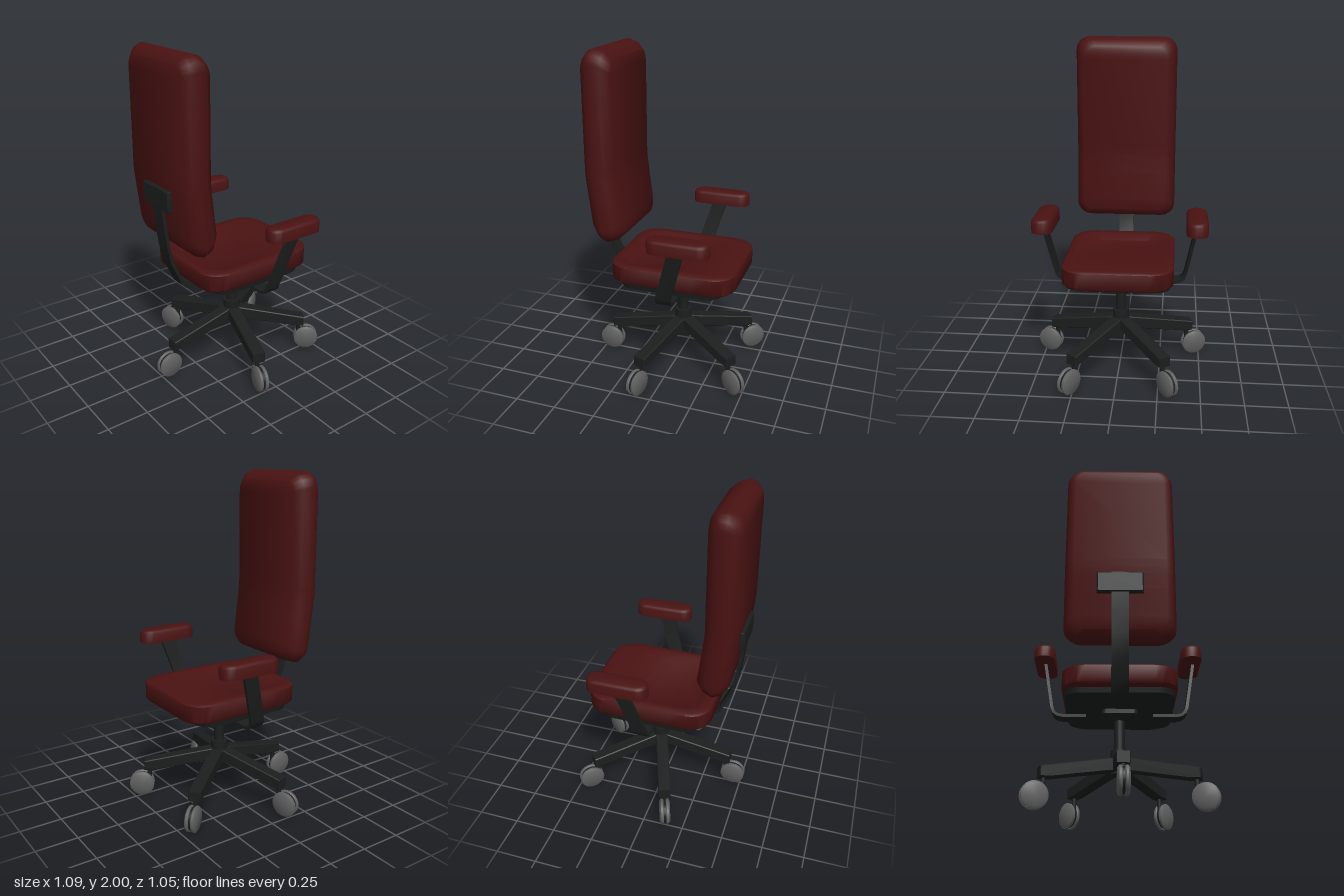
import * as THREE from 'three';
import { toCreasedNormals } from 'three/addons/utils/BufferGeometryUtils.js';

const fabric = new THREE.MeshStandardMaterial({ color: 0x4a1212 });
const black = new THREE.MeshStandardMaterial({ color: 0x1c1e1e });
const grey = new THREE.MeshStandardMaterial({ color: 0x606060 });
const CX = -0.006; // centre line of the chair

function part(parent, name, geometry, material, x = 0, y = 0, z = 0) {
  const mesh = new THREE.Mesh(geometry, material);
  mesh.name = name;
  mesh.position.set(x, y, z);
  parent.add(mesh);
  return mesh;
}

// Skin through equal rings; each end is closed by strips between mirrored points.
function loft(rings, crease = 0.75) {
  const n = rings[0].length, index = [];
  const quad = (a, b, c, d) => index.push(a, b, c, a, c, d);
  for (let j = 0; j < rings.length - 1; j++)
    for (let i = 0; i < n; i++) {
      const k = (i + 1) % n;
      quad(j * n + i, j * n + k, (j + 1) * n + k, (j + 1) * n + i);
    }
  const top = (rings.length - 1) * n;
  for (let i = 0; i < n / 2 - 1; i++) {
    quad(top + i, top + i + 1, top + n - 2 - i, top + n - 1 - i);
    quad(n - 1 - i, n - 2 - i, i + 1, i);
  }
  const g = new THREE.BufferGeometry();
  g.setAttribute('position', new THREE.Float32BufferAttribute(rings.flat(2), 3));
  g.setIndex(index);
  return toCreasedNormals(g, crease);
}

// Rounded rectangle in layers [inset, level]; place() maps (x, v, level) to space.
function pad(hx, hv, r, layers, place, rows = [], crease) {
  const half = [], steps = 5;
  const arc = (cv, from) => {
    for (let i = 0; i <= steps; i++) {
      const a = from + (i / steps) * Math.PI / 2;
      half.push([hx - r + r * Math.cos(a), cv + r * Math.sin(a)]);
    }
  };
  arc(-hv + r, -Math.PI / 2);
  rows.forEach(v => half.push([hx, v]));
  arc(hv - r, 0);
  const outline = [...half, ...half.map(([x, v]) => [-x, v]).reverse()];
  return loft(layers.map(([inset, t]) =>
    outline.map(([x, v]) => place(x * (1 - inset / hx), v * (1 - inset / hv), t))), crease);
}

// Flat bar following a 2D path; place() maps (a, b, across) to space.
function strip(path, width, thick, place) {
  return loft(path.map((p, i) => {
    const q = path[Math.max(i - 1, 0)], s = path[Math.min(i + 1, path.length - 1)];
    const l = Math.hypot(s[0] - q[0], s[1] - q[1]);
    const na = -(s[1] - q[1]) / l * thick / 2, nb = (s[0] - q[0]) / l * thick / 2;
    return [[1, -1], [1, 1], [-1, 1], [-1, -1]].map(([m, w]) =>
      place(p[0] + m * na, p[1] + m * nb, w * width / 2));
  }));
}

function addUpholstery(chair) {
  // Tall backrest, its lower part leaning forward over the seat
  part(chair, 'backrest', pad(0.315, 0.5675, 0.085,
    [[0.055, -0.09], [0.018, -0.045], [0, 0.015], [0.015, 0.055], [0.05, 0.09]],
    (x, v, t) => {
      const y = 1.4325 + v;
      return [x, y, 0.385 + t - Math.max(0, 1.28 - y) * 0.12];
    }, [-0.3, -0.2, -0.15, -0.1], 1.0), fabric, CX);

  // Seat cushion with a hollow that deepens towards the rear
  const level = { rim: 0.755, hollow: 0.72 };
  part(chair, 'seatCushion', pad(0.325, 0.3825, 0.13,
    [[0.01, 0.64], [0, 0.65], [0, 0.745], [0.012, level.rim], [0.06, level.rim], [0.1, level.hollow]],
    (x, v, t) => {
      const fade = THREE.MathUtils.smoothstep(-v, -0.3, 0.1);
      const y = t === level.hollow ? level.rim - (level.rim - t) * fade : t;
      return [x, y, -v - 0.0425];
    }, [-0.15, -0.05, 0.05, 0.15], 0.9), fabric, CX);

  // Arm pads
  for (const [name, x] of [['leftArmPad', 0.43], ['rightArmPad', -0.46]])
    part(chair, name, pad(0.0615, 0.1825, 0.058,
      [[0, 0.94], [0, 1.0], [0.006, 1.012], [0.02, 1.02]],
      (px, v, t) => [px, t, -v - 0.152], [], 0.9), fabric, x);
}

function addFrame(chair) {
  // Pan under the cushion and the tilt mechanism below it
  part(chair, 'seatPan', pad(0.318, 0.32, 0.1, [[0.045, 0.592], [0.008, 0.61], [0, 0.645]],
    (x, v, t) => [x, t, -v - 0.04], [], 0.5), black, CX);
  part(chair, 'tiltMechanism', pad(0.103, 0.103, 0.025, [[0.03, 0.548], [0, 0.566], [0, 0.6]],
    (x, v, t) => [x, t, -v - 0.04], [], 0.5), black, CX);

  // Curved bar from under the seat up to the plate on the backrest
  const bar = [[0.17, 0.583], [0.29, 0.583], [0.325, 0.59], [0.352, 0.615], [0.375, 0.67],
    [0.42, 0.765], [0.445, 0.88], [0.465, 1.03], [0.476, 1.13], [0.482, 1.245]];
  part(chair, 'backBar', strip(bar, 0.095, 0.02, (a, b, w) => [-w, b, a]), black, CX);
  part(chair, 'backPlate', pad(0.132, 0.064, 0.008, [[0, 0.465], [0, 0.484], [0.008, 0.492]],
    (x, v, t) => [x, 1.184 + v, t], [], 0.4), black, CX);

  // Bent arm brackets, raked forward as they rise
  const bracket = [[0.195, 0.573], [0.33, 0.573], [0.362, 0.58], [0.383, 0.597],
    [0.394, 0.625], [0.452, 0.945]];
  for (const [name, side] of [['leftArmBracket', 1], ['rightArmBracket', -1]])
    part(chair, name, strip(bracket.map(([x, y]) => [x * side, y]), 0.092, 0.018,
      (a, b, w) => [a, b, w - 0.045 - Math.max(0, b - 0.62) * 0.3]), black, CX);
}

function addBase(chair) {
  const base = new THREE.Group();
  base.name = 'base';
  base.position.set(CX, 0, -0.04);
  chair.add(base);
  part(base, 'gasLift', new THREE.CylinderGeometry(0.031, 0.031, 0.24, 20), black, 0, 0.46, 0);
  part(base, 'hub', new THREE.CylinderGeometry(0.051, 0.051, 0.14, 20), black, 0, 0.3, 0);

  // Side profile of a leg (distance from hub, height)
  const legShape = new THREE.Shape([[0, 0.325], [0, 0.245], [0.08, 0.24], [0.405, 0.178],
    [0.468, 0.175], [0.468, 0.236], [0.06, 0.318]].map(p => new THREE.Vector2(...p)));
  const legGeo = new THREE.ExtrudeGeometry(legShape, { depth: 0.066, bevelSize: 0.005, bevelThickness: 0.005, bevelOffset: -0.005, bevelSegments: 1 });
  legGeo.translate(0, 0, -0.033).rotateY(-Math.PI / 2);

  // Wheel half with a rounded outer edge, turning about x
  const wheelGeo = toCreasedNormals(new THREE.LatheGeometry(
    [[0, -0.012], [0.073, -0.012], [0.077, -0.007], [0.077, 0.004], [0.064, 0.013], [0, 0.015]]
      .map(p => new THREE.Vector2(...p)), 24), 0.6);
  wheelGeo.rotateZ(-Math.PI / 2);

  for (let i = 0; i < 5; i++) {
    const arm = new THREE.Group();
    arm.name = 'leg' + (i + 1);
    arm.rotation.y = (2 + 72 * i) * Math.PI / 180;
    base.add(arm);
    part(arm, 'legBeam', legGeo, black);
    part(arm, 'casterStem', new THREE.CylinderGeometry(0.014, 0.014, 0.1, 10), black, 0, 0.14, 0.44);
    const core = part(arm, 'casterCore', new THREE.CylinderGeometry(0.068, 0.068, 0.02, 20), black, 0, 0.079, 0.488);
    core.rotation.z = Math.PI / 2;
    for (const side of [1, -1]) {
      const wheel = part(arm, 'casterWheel', wheelGeo, grey, side * 0.019, 0.078, 0.488);
      if (side < 0) wheel.rotation.y = Math.PI;
    }
  }
}

export function createModel() {
  const chair = new THREE.Group();
  chair.name = 'officeChair';
  addUpholstery(chair);
  addFrame(chair);
  addBase(chair);
  return chair;
}
